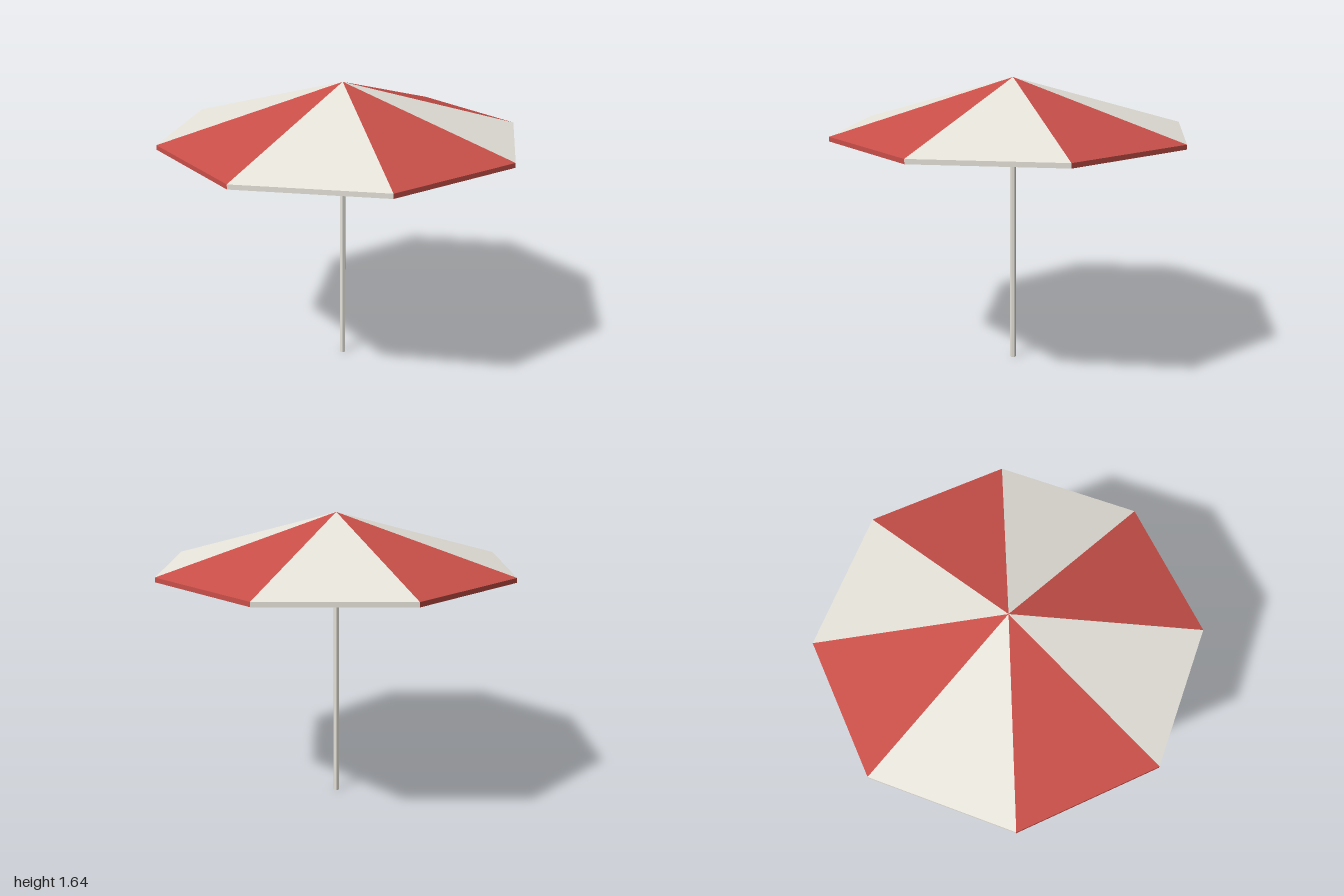
import * as THREE from 'three';

const SIDES = 8;
const RIM_RADIUS = 1;
const APEX_Y = 1.645;
const RIM_Y = 1.36;
const THICKNESS = 0.025;

// One wedge of the canopy: sloped top, outer rim and sloped underside.
function wedgeGeometry(start, end) {
  const rim = (angle, y) => [Math.cos(angle) * RIM_RADIUS, y, Math.sin(angle) * RIM_RADIUS];
  const top = [0, APEX_Y, 0];
  const under = [0, APEX_Y - THICKNESS, 0];
  const p0 = rim(start, RIM_Y), p1 = rim(end, RIM_Y);
  const q0 = rim(start, RIM_Y - THICKNESS), q1 = rim(end, RIM_Y - THICKNESS);
  const faces = [
    [top, p1, p0],
    [p0, p1, q1],
    [p0, q1, q0],
    [under, q0, q1],
  ];
  const geometry = new THREE.BufferGeometry();
  geometry.setAttribute('position', new THREE.Float32BufferAttribute(faces.flat(2), 3));
  geometry.computeVertexNormals();
  return geometry;
}

export function createModel() {
  const red = new THREE.MeshStandardMaterial({ color: 0xc94f49, flatShading: true });
  red.name = 'red fabric';
  const cream = new THREE.MeshStandardMaterial({ color: 0xeeebe2, flatShading: true });
  cream.name = 'cream';

  const model = new THREE.Group();
  model.name = 'parasol';

  // Canopy of alternating panels
  const canopy = new THREE.Group();
  canopy.name = 'canopy';
  const step = (Math.PI * 2) / SIDES;
  for (let i = 0; i < SIDES; i++) {
    const panel = new THREE.Mesh(wedgeGeometry(i * step, (i + 1) * step), i % 2 ? cream : red);
    panel.name = `canopyPanel${i + 1}`;
    canopy.add(panel);
  }
  model.add(canopy);

  // Six-sided pole, ending just below the underside of the canopy
  const poleHeight = 1.58;
  const pole = new THREE.Mesh(new THREE.CylinderGeometry(0.017, 0.017, poleHeight, 6), cream);
  pole.name = 'pole';
  pole.rotation.y = Math.PI / 6;
  pole.position.y = poleHeight / 2;
  model.add(pole);

  return model;
}
